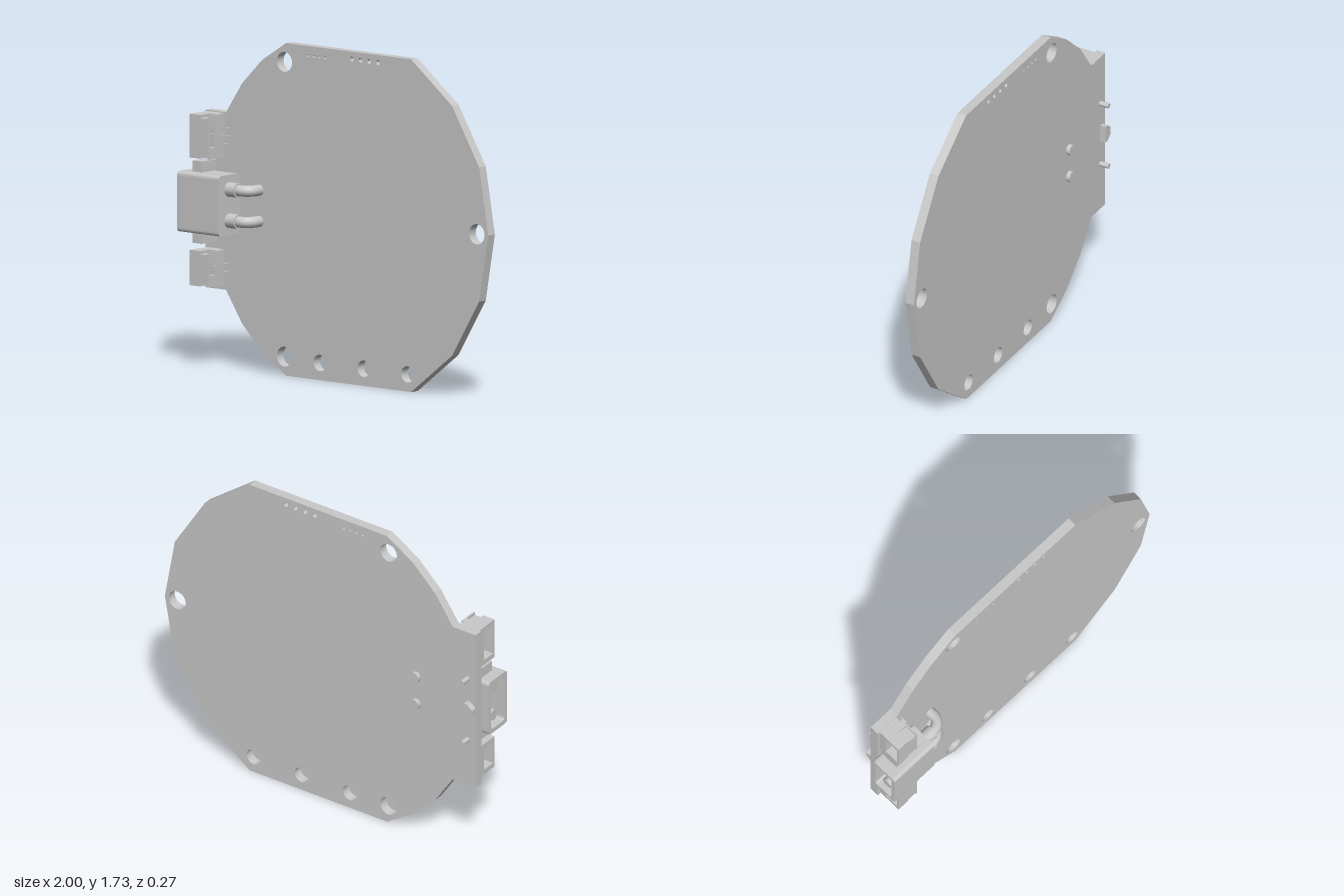
import * as THREE from 'three';

const grey = new THREE.MeshStandardMaterial({ color: 0xc8c8c8 });
grey.name = 'light grey';

function add(parent, name, geometry, x = 0, y = 0, z = 0) {
  const mesh = new THREE.Mesh(geometry, grey);
  mesh.name = name;
  mesh.position.set(x, y, z);
  parent.add(mesh);
  return mesh;
}

// Box given by its limits on each axis
function box(parent, name, x0, x1, y0, y1, z0, z1) {
  return add(parent, name, new THREE.BoxGeometry(x1 - x0, y1 - y0, z1 - z0),
    (x0 + x1) / 2, (y0 + y1) / 2, (z0 + z1) / 2);
}

// Rods along x and along z
function rodX(parent, name, r, x0, x1, y, z) {
  const g = new THREE.CylinderGeometry(r, r, x1 - x0, 20).rotateZ(Math.PI / 2);
  return add(parent, name, g, (x0 + x1) / 2, y, z);
}
function rodZ(parent, name, r, x, y, z0, z1) {
  const g = new THREE.CylinderGeometry(r, r, z1 - z0, 20).rotateX(Math.PI / 2);
  return add(parent, name, g, x, y, (z0 + z1) / 2);
}

// Rounded rectangle in the y-z plane, drawn with the first axis as -z
function section(path, y0, y1, z0, z1, r) {
  const a = -z1, b = -z0;
  path.moveTo(a + r, y0);
  path.lineTo(b - r, y0);
  if (r) path.quadraticCurveTo(b, y0, b, y0 + r);
  path.lineTo(b, y1 - r);
  if (r) path.quadraticCurveTo(b, y1, b - r, y1);
  path.lineTo(a + r, y1);
  if (r) path.quadraticCurveTo(a, y1, a, y1 - r);
  path.lineTo(a, y0 + r);
  if (r) path.quadraticCurveTo(a, y0, a + r, y0);
  path.closePath();
  return path;
}

// Sweep a section along x, optionally with a hole
function sweepX(parent, name, x0, x1, outer, hole) {
  const shape = section(new THREE.Shape(), ...outer);
  if (hole) shape.holes.push(section(new THREE.Path(), ...hole));
  const g = new THREE.ExtrudeGeometry(shape, { depth: x1 - x0, bevelEnabled: false, curveSegments: 5 });
  return add(parent, name, g.rotateY(Math.PI / 2), x0);
}

const outline = (points) => new THREE.Shape(points.map(([x, y]) => new THREE.Vector2(x, y)));

// Faceted board with a straight tab on one side and drilled holes
function makeBoard(parent) {
  const shape = outline([
    [-0.40, 0], [0.465, 0], [0.747, 0.215], [0.935, 0.515], [0.998, 0.864], [0.935, 1.212],
    [0.747, 1.513], [0.465, 1.726], [-0.40, 1.726], [-0.565, 1.622], [-0.703, 1.488],
    [-0.814, 1.326], [-0.957, 1.326], [-0.957, 0.405], [-0.814, 0.405], [-0.703, 0.24], [-0.565, 0.107],
  ]);
  const drill = (x, y, r) => {
    const hole = new THREE.Path();
    hole.absarc(x, y, r, 0, Math.PI * 2, true);
    shape.holes.push(hole);
  };
  drill(-0.41, 1.627, 0.052);
  drill(-0.41, 0.098, 0.052);
  drill(0.919, 0.863, 0.053);
  for (const x of [-0.166, 0.138, 0.44]) drill(x, 0.089, 0.043);
  for (let i = 0; i < 4; i++) {
    drill(-0.248 + i * 0.04, 1.676, 0.007);
    drill(0.055 + i * 0.06, 1.687, 0.013);
  }
  const g = new THREE.ExtrudeGeometry(shape, { depth: 0.051, bevelEnabled: false, curveSegments: 14 });
  add(parent, 'board', g, 0, 0, -0.084);
}

// Open signal socket with a windowed back wall and a row of leads
function makeSocket(name, y0, y1, leads) {
  const group = new THREE.Group();
  group.name = name;
  const mid = (y0 + y1) / 2, half = (y1 - y0) / 2;
  const win = half - 0.059;
  sweepX(group, 'socketShell', -0.942, -0.87, [y0, y1, -0.002, 0.105, 0],
    [y0 + 0.028, y1 - 0.028, 0.012, 0.093, 0]);
  sweepX(group, 'socketNeck', -0.87, -0.84, [y0 + 0.016, y1 - 0.016, -0.002, 0.105, 0],
    [y0 + 0.028, y1 - 0.028, 0.012, 0.093, 0]);
  sweepX(group, 'socketBackWall', -0.84, -0.811, [y0 + 0.016, y1 - 0.016, -0.002, 0.105, 0],
    [mid - win, mid + win, 0.05, 0.093, 0]);
  for (const [a, b] of [[y0, y0 + 0.016], [y1 - 0.016, y1]]) {
    box(group, 'socketSide', -0.87, -0.811, a, b, -0.002, 0.035);
    box(group, 'socketCorner', -0.819, -0.811, a, b, 0.035, 0.105);
  }
  box(group, 'socketFoot', -0.942, -0.825, y0, y1, -0.033, -0.002);
  box(group, 'socketKey', -0.84, -0.811, mid - 0.018, mid + 0.018, 0.05, 0.062);
  for (let i = 0; i < leads; i++) {
    const y = mid + (i - (leads - 1) / 2) * 0.041;
    box(group, 'lead', -0.93, -0.785, y - 0.004, y + 0.004, -0.004, 0.004);
    box(group, 'leadEnd', -0.795, -0.785, y - 0.004, y + 0.004, -0.033, 0);
  }
  return group;
}

// Power plug housing, its lugs and the two bent terminals
function makePowerPlug() {
  const group = new THREE.Group();
  group.name = 'powerPlug';
  const outer = [0.707, 1.021, -0.028, 0.136, 0.022];
  sweepX(group, 'plugShell', -1, -0.8, outer, [0.731, 0.997, -0.006, 0.114, 0.018]);
  sweepX(group, 'plugBack', -0.8, -0.714, outer);

  for (const [y0, y1, pinY] of [[0.65, 0.713, 0.68], [1.014, 1.077, 1.047]]) {
    box(group, 'mountingLug', -0.938, -0.874, y0, y1, -0.028, 0.087);
    rodZ(group, 'mountingPin', 0.014, -0.906, pinY, -0.136, -0.02);
  }

  const z = 0.053, bend = 0.055, x = -0.584, r = 0.029;
  for (const y of [0.783, 0.945]) {
    rodX(group, 'contact', 0.03, -0.975, -0.79, y, z);
    rodX(group, 'collar', 0.038, -0.72, -0.65, y, z);
    rodX(group, 'terminalStraight', r, -0.66, x - bend, y, z);
    add(group, 'terminalBend',
      new THREE.TorusGeometry(bend, r, 20, 10, Math.PI / 2).rotateX(Math.PI / 2), x - bend, y, z - bend);
    rodZ(group, 'terminalTail', r, x, y, -0.106, z - bend);
  }
  return group;
}

export function createModel() {
  const model = new THREE.Group();
  model.name = 'circuitBoard';
  makeBoard(model);
  model.add(makeSocket('upperSocket', 1.094, 1.321, 3));
  model.add(makeSocket('lowerSocket', 0.432, 0.615, 2));
  model.add(makePowerPlug());

  // Small indicator on the back of the tab, tapering towards its edge
  const plan = outline([
    [-0.905, 0.817], [-0.905, 0.913], [-0.925, 0.913], [-0.957, 0.885], [-0.957, 0.845], [-0.925, 0.817],
  ]);
  add(model, 'indicator', new THREE.ExtrudeGeometry(plan, { depth: 0.036, bevelEnabled: false }), 0, 0, -0.116);
  return model;
}
